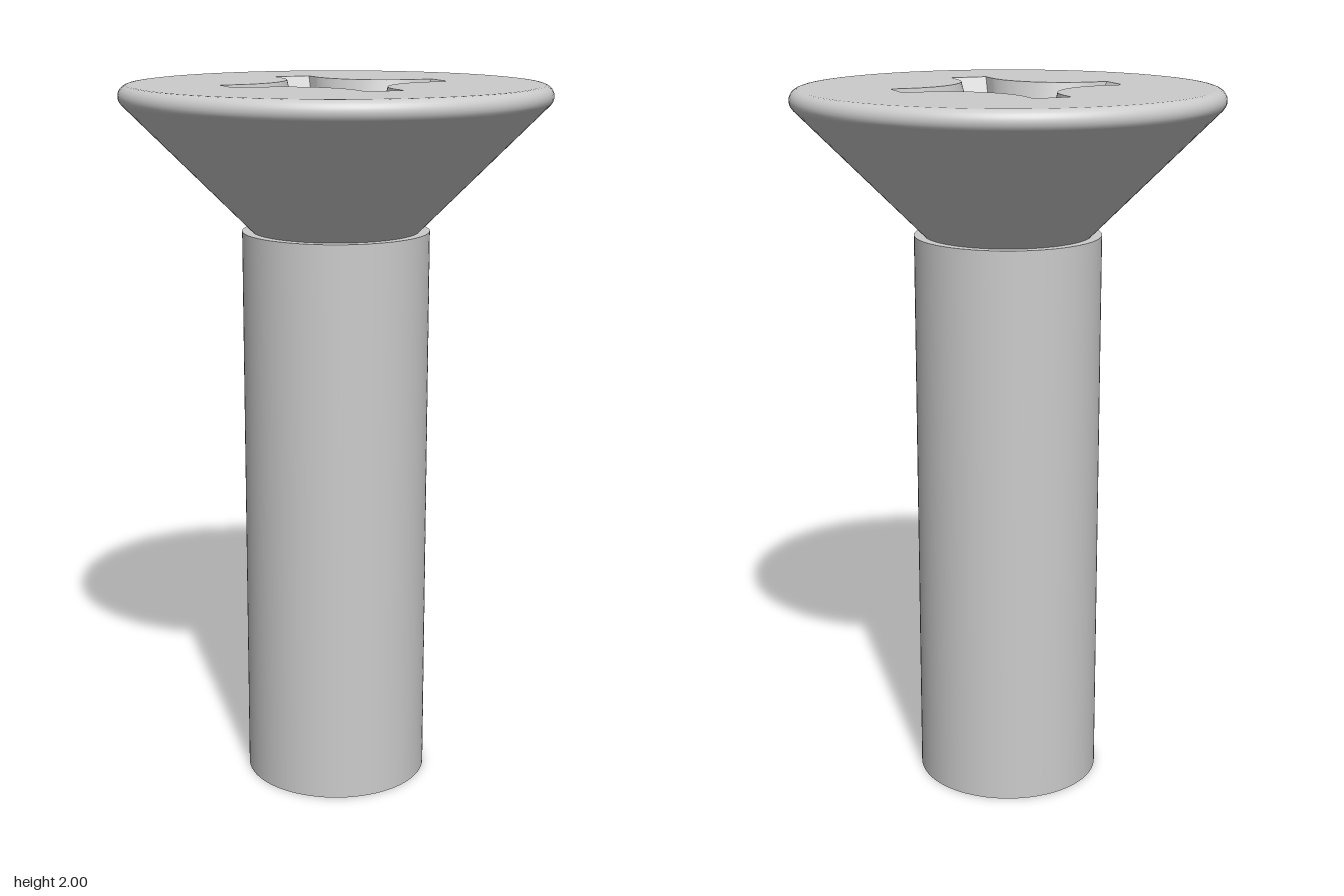
import * as THREE from 'three';

const TOP = 2, NECK_Y = 1.6, SHANK_R = 0.26;
const RIM_R = 0.03, RIM_C = 0.56;                        // rounded rim of the head
const TIP = 0.315, HALF = 0.052, FILLET = 0.267;         // cross recess outline
const FLOOR_R = 0.041, DEPTH = 0.45;                     // recess bottom

const material = new THREE.MeshStandardMaterial({ color: 0xcccccc });

function add(parent, name, geometry) {
  const mesh = new THREE.Mesh(geometry, material);
  mesh.name = name;
  parent.add(mesh);
  return mesh;
}

// Concave side between two arms, from the tip of one to the tip of the next
function quadrantOutline() {
  const points = [new THREE.Vector2(TIP, HALF)];
  const steps = 20;
  for (let i = 0; i <= steps; i++) {
    const a = -Math.PI / 2 * (1 + i / steps);
    const r = FILLET - HALF;
    points.push(new THREE.Vector2(FILLET + r * Math.cos(a), FILLET + r * Math.sin(a)));
  }
  points.push(new THREE.Vector2(HALF, TIP));
  return points;
}

// Sloping wall from an outline on the head top down to points on the recess floor
function wall(outer, inner) {
  const positions = [], index = [];
  outer.forEach((p, i) => {
    positions.push(p.x, TOP, -p.y, inner[i].x, TOP - DEPTH, -inner[i].y);
    if (i > 0) {
      const o = 2 * (i - 1);
      index.push(o, o + 2, o + 3, o, o + 3, o + 1);
    }
  });
  const geometry = new THREE.BufferGeometry();
  geometry.setAttribute('position', new THREE.Float32BufferAttribute(positions, 3));
  geometry.setIndex(index);
  geometry.computeVertexNormals();
  return geometry;
}

export function createModel() {
  const model = new THREE.Group();
  model.name = 'countersunkScrew';

  // Plain shank
  add(model, 'shank', new THREE.CylinderGeometry(SHANK_R, SHANK_R, NECK_Y, 96)).position.y = NECK_Y / 2;

  // Conical head with a rounded rim
  const head = new THREE.Group();
  head.name = 'head';
  model.add(head);
  const profile = [];
  for (let i = 0; i <= 10; i++) {
    const a = THREE.MathUtils.lerp(-Math.PI / 4, Math.PI / 2, i / 10);
    profile.push(new THREE.Vector2(RIM_C + RIM_R * Math.cos(a), TOP - RIM_R + RIM_R * Math.sin(a)));
  }
  const start = profile[0];
  profile.unshift(new THREE.Vector2(start.x - (start.y - NECK_Y), NECK_Y));
  add(head, 'headCone', new THREE.LatheGeometry(profile, 96));

  // Flat top with a cross-shaped opening
  const side = quadrantOutline();
  const centre = new THREE.Vector2();
  const outline = [];
  for (let k = 0; k < 4; k++) {
    outline.push(...side.map((p) => p.clone().rotateAround(centre, k * Math.PI / 2)));
  }
  const face = new THREE.Shape().absarc(0, 0, RIM_C, 0, Math.PI * 2);
  face.holes.push(new THREE.Path(outline));
  add(head, 'headTop', new THREE.ShapeGeometry(face, 48).rotateX(-Math.PI / 2)).position.y = TOP;

  // Tapered cross recess
  const recess = new THREE.Group();
  recess.name = 'driveRecess';
  head.add(recess);
  const cornerA = new THREE.Vector2(FLOOR_R, 0), cornerB = new THREE.Vector2(0, FLOOR_R);
  const last = side.length - 1;
  const floorEdge = side.map((p, i) =>
    cornerA.clone().lerp(cornerB, THREE.MathUtils.clamp((i - 1) / (last - 2), 0, 1)));
  const armTip = [new THREE.Vector2(TIP, -HALF), new THREE.Vector2(TIP, HALF)];
  for (let k = 0; k < 4; k++) {
    add(recess, 'recessSide', wall(side, floorEdge)).rotation.y = k * Math.PI / 2;
    add(recess, 'recessArmEnd', wall(armTip, [cornerA, cornerA])).rotation.y = k * Math.PI / 2;
  }
  add(recess, 'recessFloor', new THREE.CircleGeometry(FLOOR_R, 4).rotateX(-Math.PI / 2)).position.y = TOP - DEPTH;

  return model;
}
